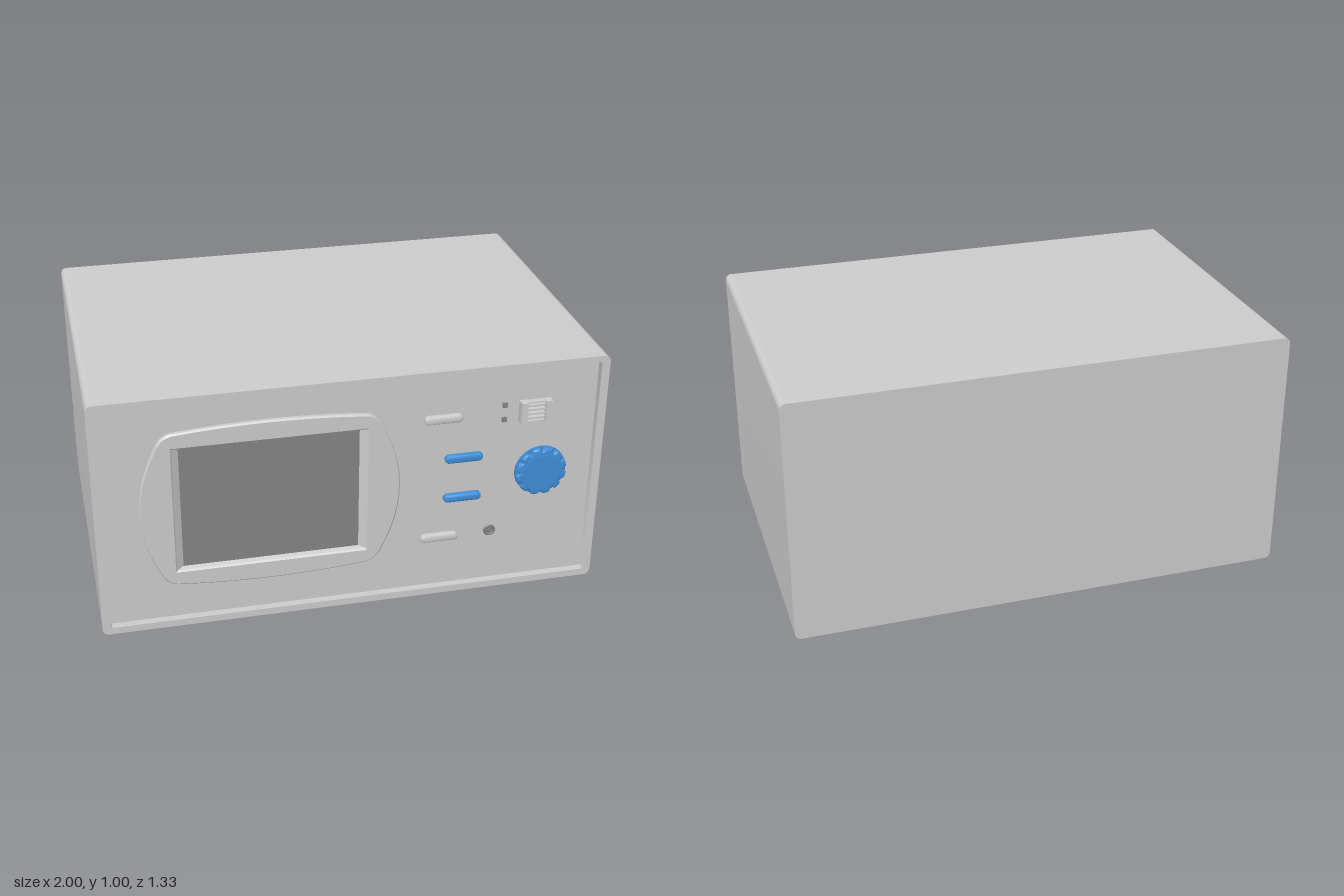
import * as THREE from 'three';
import { toCreasedNormals } from 'three/addons/utils/BufferGeometryUtils.js';

const FRONT = 0.663, PANEL = 0.633;
const grey = new THREE.MeshStandardMaterial({ color: 0xcccccc });
const dark = new THREE.MeshStandardMaterial({ color: 0x848484 });
const blue = new THREE.MeshStandardMaterial({ color: 0x3f8fd8 });

// Rounded rectangle outline centred on (cx, cy)
function roundRect(w, h, r, cx = 0, cy = 0, Type = THREE.Shape) {
  const s = new Type(), x = cx - w / 2, y = cy - h / 2, P = Math.PI;
  s.absarc(x + w - r, y + r, r, -P / 2, 0);
  s.absarc(x + w - r, y + h - r, r, 0, P / 2);
  s.absarc(x + r, y + h - r, r, P / 2, P);
  s.absarc(x + r, y + r, r, P, 1.5 * P);
  s.closePath();
  return s;
}

// Extrusion from z0 to z1 whose front edge is bevelled inside the outline
function extrude(shape, z0, z1, bevel = 0, segments = 1) {
  const g = new THREE.ExtrudeGeometry(shape, {
    depth: z1 - z0 - 2 * bevel, bevelEnabled: bevel > 0, bevelSize: bevel,
    bevelThickness: bevel, bevelOffset: -bevel, bevelSegments: segments, curveSegments: 12,
  });
  g.translate(0, 0, z0 + bevel);
  return toCreasedNormals(g, 0.6);
}

export function createModel() {
  const model = new THREE.Group();
  const add = (name, geometry, material = grey, parent = model) => {
    const m = new THREE.Mesh(geometry, material);
    m.name = name;
    parent.add(m);
    return m;
  };
  const box = (name, x, y, z, w, h, d, material, parent) =>
    add(name, new THREE.BoxGeometry(w, h, d), material, parent).position.set(x, y, z);

  // Case with a raised rim around the recessed front panel
  add('case', extrude(roundRect(2, 1, 0.025, 0, 0.5), -0.665, PANEL));
  const rim = roundRect(2, 1, 0.025, 0, 0.5);
  rim.holes.push(roundRect(1.934, 0.946, 0.008, 0, 0.502, THREE.Path));
  add('frontRim', extrude(rim, PANEL, FRONT));

  // Barrel-shaped screen surround
  const cx = -0.325, cy = 0.517;
  const bezel = new THREE.Shape();
  bezel.moveTo(cx - 0.37, cy + 0.33);
  bezel.quadraticCurveTo(cx, cy + 0.366, cx + 0.37, cy + 0.33);
  bezel.quadraticCurveTo(cx + 0.415, cy + 0.325, cx + 0.44, cy + 0.265);
  bezel.quadraticCurveTo(cx + 0.572, cy, cx + 0.44, cy - 0.265);
  bezel.quadraticCurveTo(cx + 0.415, cy - 0.325, cx + 0.37, cy - 0.33);
  bezel.quadraticCurveTo(cx, cy - 0.366, cx - 0.37, cy - 0.33);
  bezel.quadraticCurveTo(cx - 0.415, cy - 0.325, cx - 0.44, cy - 0.265);
  bezel.quadraticCurveTo(cx - 0.572, cy, cx - 0.44, cy + 0.265);
  bezel.quadraticCurveTo(cx - 0.415, cy + 0.325, cx - 0.37, cy + 0.33);
  const window_ = new THREE.Path();
  const hw = 0.372, hh = 0.266;
  window_.moveTo(cx - hw, cy - hh);
  window_.lineTo(cx + hw, cy - hh);
  window_.lineTo(cx + hw, cy + hh);
  window_.lineTo(cx - hw, cy + hh);
  window_.closePath();
  bezel.holes.push(window_);
  add('screenSurround', extrude(bezel, PANEL, 0.658, 0.006));

  // Sloping walls leading down to the screen
  const corners = [[-1, -1], [1, -1], [1, 1], [-1, 1]];
  const ring = (w, h, z) => corners.map(([sx, sy]) => [cx + sx * w, cy + sy * h, z]);
  const outer = ring(hw, hh, 0.652), inner = ring(0.346, 0.259, 0.635);
  const slope = [];
  for (let i = 0; i < 4; i++) {
    const j = (i + 1) % 4;
    for (const p of [outer[i], outer[j], inner[j], outer[i], inner[j], inner[i]]) slope.push(...p);
  }
  const walls = new THREE.BufferGeometry();
  walls.setAttribute('position', new THREE.Float32BufferAttribute(slope, 3));
  walls.computeVertexNormals();
  add('screenWalls', walls);
  box('screen', cx, cy, 0.634, 0.692, 0.518, 0.004, dark);

  // Pill-shaped buttons
  const buttons = [[0.35, 0.786, grey], [0.438, 0.607, blue], [0.438, 0.431, blue], [0.35, 0.255, grey]];
  for (const [x, y, material] of buttons)
    add('button', extrude(roundRect(0.152, 0.034, 0.0165, x, y), PANEL - 0.01, 0.655, 0.01, 3), material);

  // Scalloped rotary knob
  const knob = new THREE.Group();
  knob.name = 'knob';
  knob.position.set(0.757, 0.513, 0);
  model.add(knob);
  const disc = (name, r, z0, z1, material, parent) => {
    const m = add(name, new THREE.CylinderGeometry(r, r, z1 - z0, 48), material, parent);
    m.rotation.x = Math.PI / 2;
    m.position.z = (z0 + z1) / 2;
    return m;
  };
  disc('knobBase', 0.105, PANEL, 0.641, blue, knob);
  const grip = new THREE.Shape();
  const steps = 144;
  for (let i = 0; i < steps; i++) {
    const a = (i / steps) * Math.PI * 2;
    const r = 0.104 - 0.014 * Math.max(0, Math.cos(12 * a)) ** 1.5;
    grip[i ? 'lineTo' : 'moveTo'](r * Math.cos(a), r * Math.sin(a));
  }
  grip.closePath();
  add('knobGrip', extrude(grip, PANEL, 0.66, 0.008, 3), blue, knob);
  disc('knobCap', 0.074, 0.65, 0.662, blue, knob);

  // Round jack
  const jack = new THREE.Group();
  jack.name = 'jack';
  jack.position.set(0.562, 0.256, 0);
  model.add(jack);
  disc('jackSocket', 0.02, PANEL, 0.637, dark, jack);
  add('jackRing', new THREE.TorusGeometry(0.02, 0.005, 8, 32), dark, jack).position.z = 0.636;
  disc('jackPin', 0.007, PANEL, 0.642, dark, jack);

  // Indicator lights
  for (const y of [0.817, 0.755]) box('indicator', 0.595, y, 0.636, 0.019, 0.019, 0.012, dark);

  // Socket with side rails and contact bars
  const port = new THREE.Group();
  port.name = 'socket';
  port.position.set(0.716, 0.785, 0);
  model.add(port);
  box('socketBack', 0, 0, 0.636, 0.126, 0.088, 0.01, grey, port);
  for (const side of [-1, 1]) {
    box('socketRail', side * 0.05, 0, 0.65, 0.026, 0.09, 0.034, grey, port);
    box('socketEdge', 0, side * 0.041, 0.645, 0.1, 0.006, 0.024, grey, port);
  }
  for (let i = 0; i < 4; i++)
    box('contactBar', 0, -0.027 + i * 0.018, 0.647, 0.076, 0.009, 0.02, grey, port);

  return model;
}
